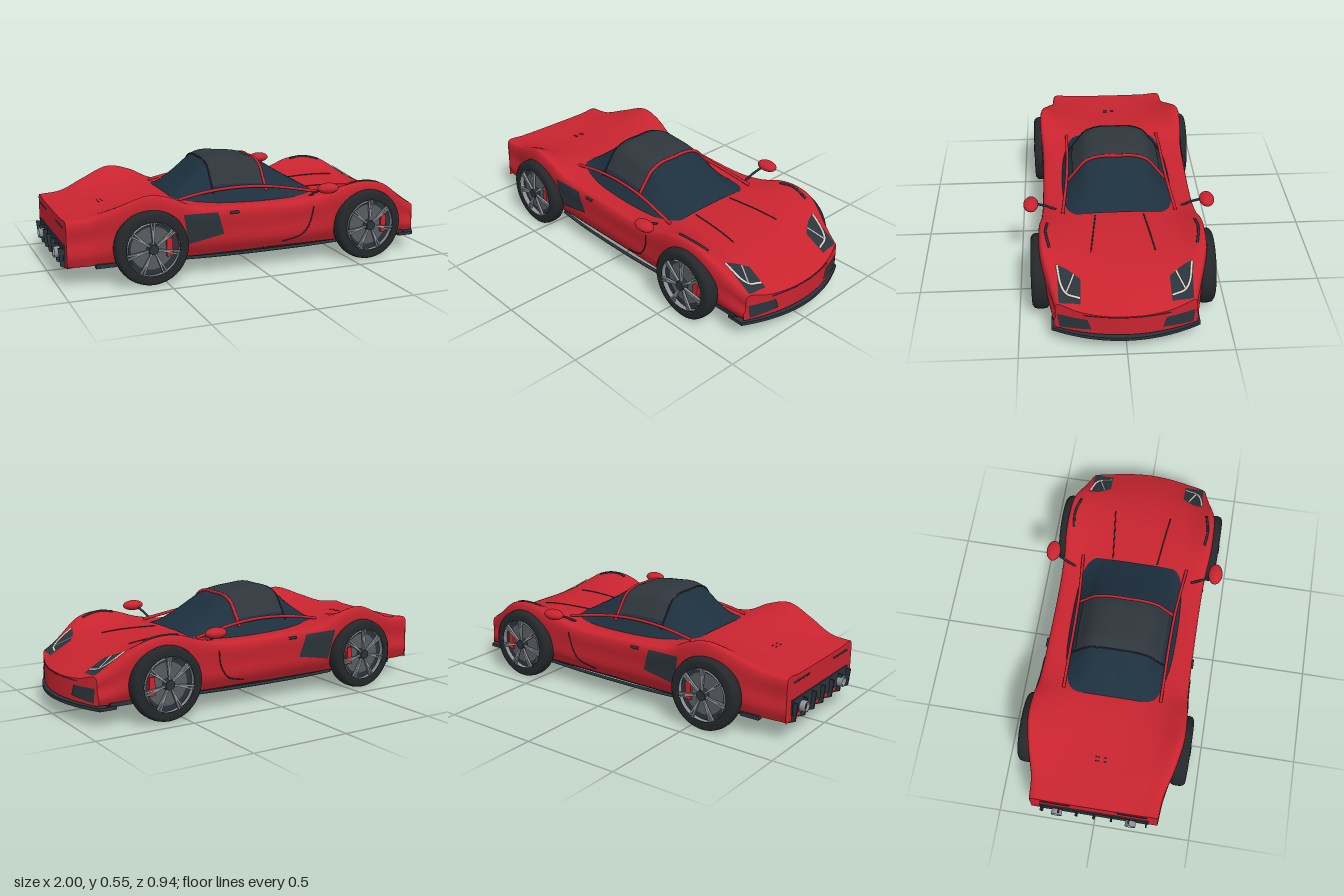
import * as THREE from 'three';

const V = (x, y, z) => new THREE.Vector3(x, y, z);
const mat = (color, side = THREE.FrontSide) => new THREE.MeshStandardMaterial({ color, side });
const RED = mat(0xc8242f), SKIN = mat(0xc8242f, THREE.DoubleSide);
const DARK = mat(0x2a343b), PANEL = mat(0x2a343b, THREE.DoubleSide), UNDER = mat(0x14181c);
const GLASS = mat(0x1d303e, THREE.DoubleSide), ROOF = mat(0x2e363c, THREE.DoubleSide);
const TYRE = mat(0x24282a), METAL = mat(0x8d9297), DISC = mat(0x565b5f, THREE.DoubleSide), LAMP = mat(0xd9d4c8);

// Smooth interpolation of a table whose first column is x
function sample(table, x) {
  let i = 0;
  while (i < table.length - 2 && x > table[i + 1][0]) i++;
  const a = table[i], b = table[i + 1], p = table[i - 1] || a, n = table[i + 2] || b;
  const h = b[0] - a[0], t = (x - a[0]) / h, t2 = t * t, t3 = t2 * t;
  return a.slice(1).map((va, k) => {
    const vb = b[k + 1];
    const ma = (vb - p[k + 1]) / (b[0] - p[0]) * h, mb = (n[k + 1] - va) / (n[0] - a[0]) * h;
    return va * (2 * t3 - 3 * t2 + 1) + ma * (t3 - 2 * t2 + t) + vb * (3 * t2 - 2 * t3) + mb * (t3 - t2);
  });
}

// Surface grid from fn(u, v), with u and v running 0..1
function grid(nu, nv, fn) {
  const pos = [], idx = [];
  for (let i = 0; i <= nu; i++) for (let j = 0; j <= nv; j++) pos.push(...fn(i / nu, j / nv).toArray());
  for (let i = 0; i < nu; i++) for (let j = 0; j < nv; j++) {
    const a = i * (nv + 1) + j, b = a + nv + 1;
    idx.push(a, a + 1, b, b, a + 1, b + 1);
  }
  const g = new THREE.BufferGeometry();
  g.setAttribute('position', new THREE.Float32BufferAttribute(pos, 3));
  g.setIndex(idx);
  g.computeVertexNormals();
  return g;
}

// Body stations: x, centre height, fender height, half width, sill half width
const BODY = [
  [-0.965, .315, .32, .325, .31], [-.85, .325, .33, .335, .32], [-.72, .335, .38, .37, .33],
  [-.58, .35, .43, .395, .335], [-.46, .36, .405, .395, .335], [-.34, .355, .347, .385, .335],
  [-.1, .33, .332, .38, .335], [.2, .33, .327, .38, .34], [.36, .34, .35, .385, .34],
  [.48, .34, .39, .395, .34], [.58, .335, .403, .395, .34], [.7, .32, .385, .39, .335],
  [.8, .295, .345, .375, .33], [.9, .25, .285, .35, .33], [.98, .205, .235, .325, .32]];
const FLOOR = 0.1, TAIL = -0.965, NOSE = 0.98;

function bodyPoint(x, v) {
  const [yc, yf, w, wb] = sample(BODY, x), d = yf - yc, s = v * 2 - 1;
  const p = new THREE.CatmullRomCurve3([
    V(0, yc, 0), V(0, yc + .05 * d, .35 * w), V(0, yc + .38 * d, .68 * w), V(0, yf, .965 * w),
    V(0, yf - .025, w), V(0, FLOOR + .55 * (yf - FLOOR), w * .985), V(0, FLOOR + .25 * (yf - FLOOR), (w + wb) / 2 + .01),
    V(0, FLOOR, wb)], false, 'centripetal').getPoint(Math.abs(s));
  const z = p.z * Math.sign(s);
  return V(x - .075 * (z / .33) ** 2 * THREE.MathUtils.smoothstep(x, .6, .97), p.y, z);
}

// Cabin stations: x, base half width, base height, roof height
const CABIN = [
  [-.4, .25, .355, .364], [-.3, .265, .335, .44], [-.18, .28, .325, .532], [-.07, .285, .322, .535],
  [.08, .285, .322, .51], [.22, .28, .325, .43], [.36, .27, .335, .35]];
const cabinArc = new THREE.CatmullRomCurve3(
  [V(0, 1, 0), V(.28, 1, 0), V(.53, .88, 0), V(.72, .55, 0), V(.87, .25, 0), V(1, 0, 0)]);
function cabinPoint(x, v, lift = 0) {
  const [w, yb, yt] = sample(CABIN, x), s = v * 2 - 1, p = cabinArc.getPoint(Math.abs(s));
  return V(x, yb + p.y * (yt - yb + lift), Math.sign(s) * p.x * (w + lift));
}

export function createModel() {
  const car = new THREE.Group();
  const add = (name, geo, m, x = 0, y = 0, z = 0, parent = car) => {
    const o = new THREE.Mesh(geo, m);
    o.name = name;
    o.position.set(x, y, z);
    parent.add(o);
    return o;
  };
  const both = fn => [1, -1].forEach(s => fn(s, s > 0 ? 'left' : 'right'));
  const tube = (name, pts, r, m) => add(name,
    new THREE.TubeGeometry(new THREE.CatmullRomCurve3(pts), 32, r, 8), m);

  // Bodywork
  const at = u => TAIL + (NOSE - TAIL) * u;
  const shell = add('bodyShell', grid(90, 88, (u, v) => bodyPoint(at(u), v)), SKIN);
  const endCap = x => grid(4, 88, (u, v) => {
    const p = bodyPoint(x, v);
    p.y += (FLOOR - p.y) * u;
    return p;
  });
  const nose = add('nosePanel', endCap(NOSE), SKIN);
  const tail = add('tailPanel', endCap(TAIL), SKIN);
  add('bodyFloor', grid(60, 2, (u, v) => {
    const p = bodyPoint(at(u), 1);
    return V(p.x, FLOOR, p.z * (1 - 2 * v));
  }), SKIN);

  // Lay points, patches and lines onto the bodywork
  const ray = new THREE.Raycaster();
  const onBody = (from, dir, lift = .004) => {
    ray.set(from, dir);
    const h = ray.intersectObjects([shell, nose, tail])[0];
    return h ? h.point.addScaledVector(dir, -lift) : null;
  };
  const patch = (name, c, from, dir, m) => {
    let last = null;
    add(name, grid(10, 10, (u, v) => {
      const lerp = k => (c[0][k] * (1 - u) + c[1][k] * u) * (1 - v) + (c[3][k] * (1 - u) + c[2][k] * u) * v;
      last = onBody(from(lerp(0), lerp(1)), dir) || last || from(lerp(0), lerp(1));
      return last.clone();
    }), m);
  };
  const line = (name, pts, from, dir, r, m) => {
    const c = new THREE.CatmullRomCurve3(pts.map(p => V(p[0], p[1], 0)));
    const hit = c.getPoints(14).map(p => onBody(from(p.x, p.y), dir, r * .3)).filter(Boolean);
    if (hit.length > 1) tube(name, hit, r, m);
  };
  const BACK = V(-1, 0, 0), FORE = V(1, 0, 0), DOWN = V(0, -1, 0);

  both((s, side) => {
    const front = (z, y) => V(2, y, z * s), above = (x, z) => V(x, 2, z * s), beside = (x, y) => V(x, y, 2 * s);
    const IN = V(0, 0, -s);
    // Lamps and intakes at the nose
    patch(side + 'Headlight', [[.312, .34], [.205, .295], [.208, .235], [.308, .243]], front, BACK, PANEL);
    line(side + 'LampStrip', [[.312, .338], [.295, .285], [.27, .262], [.21, .249]], front, BACK, .006, LAMP);
    line(side + 'LampBar', [[.236, .307], [.252, .288], [.272, .265]], front, BACK, .005, LAMP);
    patch(side + 'Intake', [[.316, .183], [.18, .18], [.163, .127], [.308, .112]], front, BACK, PANEL);
    // Side vent, door seam and handle
    patch(side + 'SideVent', [[-.41, .325], [-.23, .318], [-.195, .205], [-.38, .172]], beside, IN, PANEL);
    line(side + 'DoorSeam', [[.29, .3], [.275, .22], [.23, .155], [.13, .125]], beside, IN, .003, DARK);
    line(side + 'DoorHandle', [[-.17, .31], [-.12, .31]], beside, IN, .007, DARK);
    // Bonnet creases, fender slots and tail lamps
    line(side + 'BonnetSeam', [[.37, .12], [.52, .136], [.66, .152]], above, DOWN, .003, DARK);
    line(side + 'FenderSlot', [[.5, .355], [.58, .362], [.68, .345]], above, DOWN, .006, DARK);
    line(side + 'TailLamp', [[.12, .285], [.27, .285]], (z, y) => V(-2, y, z * s), FORE, .004, DARK);

    // Mirrors
    const mirror = add(side + 'Mirror', new THREE.SphereGeometry(1, 24, 16), RED, .34, .4, .435 * s);
    mirror.scale.set(.057, .027, .037);
    tube(side + 'MirrorStalk', [V(.295, .32, .29 * s), V(.305, .36, .35 * s), V(.325, .395, .42 * s)], .006, DARK);

    // Cabin frame, sill skirts, exhaust
    tube(side + 'WindowTrim', [V(-.39, .365, .25 * s), V(-.25, .39, .25 * s), V(-.08, .402, .25 * s),
      V(.1, .393, .256 * s), V(.36, .35, .28 * s)], .008, RED);
    tube(side + 'SkirtBlade', [V(-.42, .095, .345 * s), V(-.2, .093, .358 * s), V(.2, .093, .36 * s), V(.44, .095, .35 * s)], .008, DARK);
    add(side + 'RearSkirt', new THREE.BoxGeometry(.1, .02, .03), DARK, -.78, .098, .325 * s);
    add(side + 'FrontSkirt', new THREE.BoxGeometry(.12, .02, .03), DARK, .79, .1, .325 * s);
    const pipe = add(side + 'Exhaust', new THREE.LatheGeometry(
      [[.02, 0], [.027, 0], [.027, .06], [.02, .06], [.02, 0]].map(p => new THREE.Vector2(...p)), 24), METAL, -.94, .15, .19 * s);
    pipe.rotation.z = Math.PI / 2;
  });

  // Rear panel and diffuser fins
  line('noseSeam', [[-.2, .2], [0, .2], [.2, .2]], (z, y) => V(2, y, z), BACK, .002, DARK);
  add('rearPanel', new THREE.BoxGeometry(.012, .075, .56), DARK, -.966, .165, 0);
  for (let i = -3; i <= 3; i++) {
    const fin = new THREE.Shape([[-.8, .1], [-.96, .19], [-.995, .19], [-.985, .1], [-.95, .085]].map(p => new THREE.Vector2(...p)));
    add('diffuserFin', new THREE.ExtrudeGeometry(fin, { depth: .008, bevelEnabled: false }), DARK, 0, 0, i * .09 - .004);
  }
  for (let i = 0; i < 2; i++) for (const z of [-.02, .02])
    line('deckSlot', [[-.73 + i * .02, z - .01], [-.73 + i * .02, z + .01]], (x, w) => V(x, 2, w), DOWN, .002, DARK);

  // Undertray and front splitter
  add('undertray', new THREE.BoxGeometry(1.66, .012, .66), UNDER, .03, .096, 0);
  const lip = new THREE.Shape();
  lip.moveTo(.82, -.345);
  lip.lineTo(.905, -.345);
  lip.quadraticCurveTo(1.09, 0, .905, .345);
  lip.lineTo(.82, .345);
  const splitter = add('splitter', new THREE.ExtrudeGeometry(lip, { depth: .016, bevelEnabled: false, curveSegments: 24 }), DARK, 0, .094, 0);
  splitter.rotation.x = Math.PI / 2;

  // Cabin
  add('cabinGlass', grid(40, 48, (u, v) => cabinPoint(-.4 + .76 * u, v)), GLASS);
  add('roofPanel', grid(14, 30, (u, v) => cabinPoint(-.2 + .28 * u, .16 + .68 * v, .004)), ROOF);
  const hoop = x => Array.from({ length: 25 }, (_, i) => cabinPoint(x, .1 + .8 * i / 24, .004));
  tube('windscreenHoop', hoop(.085), .008, RED);
  tube('rearHoop', hoop(-.2), .004, DARK);

  // Wheels
  const tyreProfile = [[.132, -.036], [.165, -.04], [.178, -.03], [.182, -.012], [.182, .012], [.178, .03], [.165, .04], [.132, .036]];
  const lathe = pts => new THREE.LatheGeometry(pts.map(p => new THREE.Vector2(...p)), 56).rotateX(Math.PI / 2);
  const tyre = lathe(tyreProfile);
  const rim = lathe([[.122, 0], [.122, .034], [.13, .04], [.138, .038], [.138, 0]]);
  both((s, side) => [[-.575, 'Rear'], [.59, 'Front']].forEach(([x, end]) => {
    const wheel = new THREE.Group();
    wheel.name = side + end + 'Wheel';
    wheel.position.set(x, .182, .395 * s);
    if (s < 0) wheel.rotation.y = Math.PI;
    car.add(wheel);
    const part = (n, g, m, px = 0, py = 0, pz = 0) => add(n, g, m, px, py, pz, wheel);
    part('tyre', tyre, TYRE);
    part('rim', rim, METAL);
    part('innerFace', new THREE.CircleGeometry(.134, 48), TYRE, 0, 0, .01).material = PANEL;
    part('brakeDisc', new THREE.CircleGeometry(.105, 40), DISC, 0, 0, .014);
    part('caliper', new THREE.BoxGeometry(.03, .09, .014), RED, .085 * s, 0, .02);
    for (let i = 0; i < 7; i++) for (const k of [-.09, .09]) {
      const a = i / 7 * Math.PI * 2 + Math.PI / 2;
      const spoke = part('spoke', new THREE.BoxGeometry(.108, .008, .012), METAL,
        Math.cos(a + k * .5) * .077, Math.sin(a + k * .5) * .077, .034);
      spoke.rotation.z = a + k;
    }
    part('hub', new THREE.CylinderGeometry(.024, .028, .03, 20).rotateX(Math.PI / 2), DARK, 0, 0, .032);
  }));
  return car;
}
